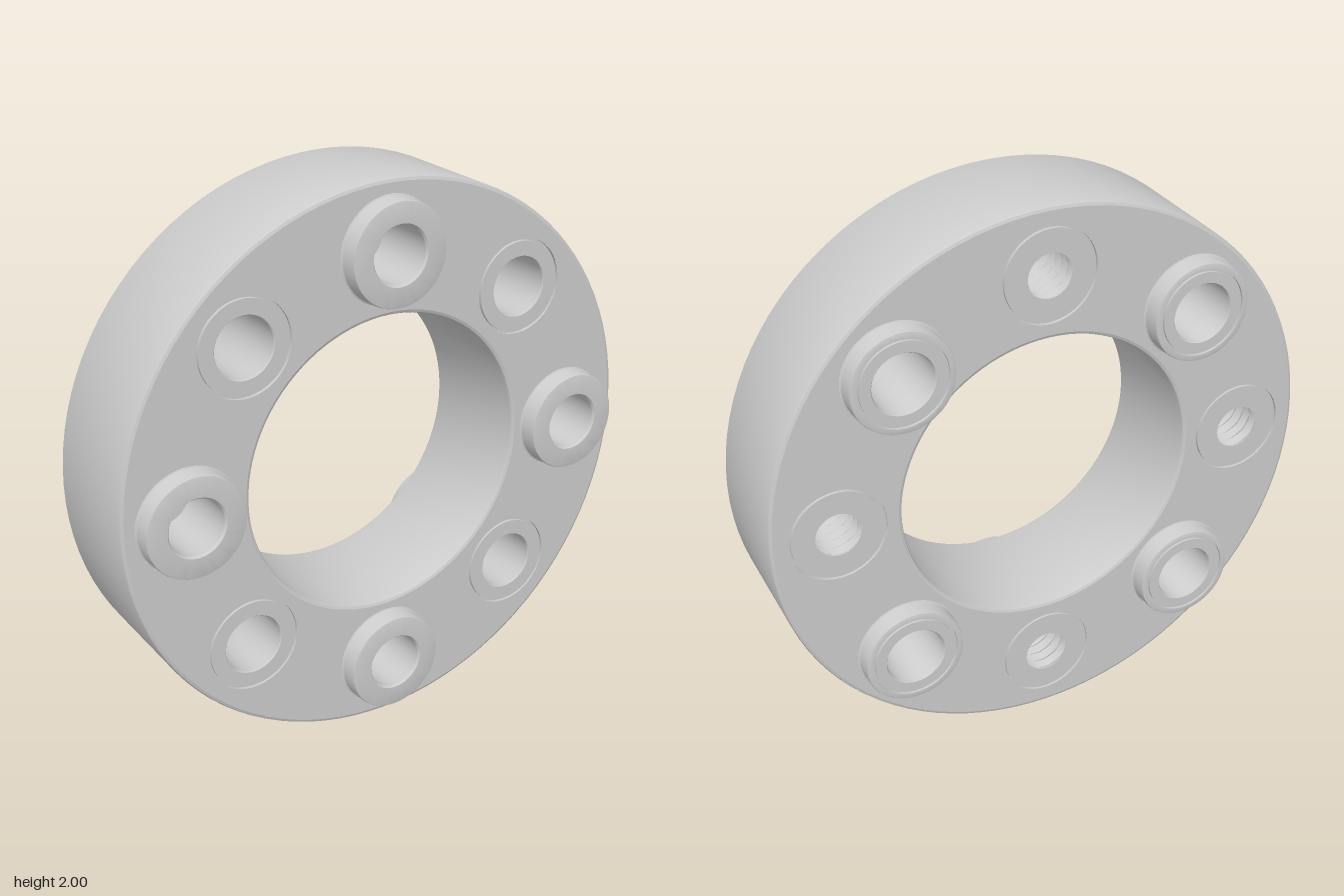
import * as THREE from 'three';
import { toCreasedNormals } from 'three/addons/utils/BufferGeometryUtils.js';

const F = 0.227;      // half thickness of the ring
const T = 0.295;      // height of the boss ends
const RO = 1, RI = 0.537;
const PITCH = 0.763;  // radius of the bolt circle
const BOSS = 0.187, FLUSH = 0.171;

const material = new THREE.MeshStandardMaterial({ color: 0xcccccc });

function mesh(name, geometry) {
  const m = new THREE.Mesh(geometry, material);
  m.name = name;
  return m;
}

// Turned surface with its axis along z
function turned(profile, segments) {
  const points = profile.map(([r, z]) => new THREE.Vector2(r, z));
  const g = new THREE.LatheGeometry(points, segments).rotateX(Math.PI / 2);
  return toCreasedNormals(g, 0.6);
}

// Flat ring face; every second opening takes a boss, the others a flush bushing
function faceGeometry(bossParity) {
  const shape = new THREE.Shape().absarc(0, 0, RO - 0.014, 0, Math.PI * 2);
  shape.holes.push(new THREE.Path().absarc(0, 0, RI + 0.014, 0, Math.PI * 2, true));
  for (let i = 0; i < 8; i++) {
    const a = i * Math.PI / 4;
    const r = i % 2 === bossParity ? BOSS : FLUSH;
    shape.holes.push(new THREE.Path().absarc(Math.cos(a) * PITCH, Math.sin(a) * PITCH, r, 0, Math.PI * 2, true));
  }
  return new THREE.ShapeGeometry(shape, 48).translate(0, 0, F);
}

// Raised boss wall with a small fillet at its foot
const bossWall = [[BOSS, F], [0.182, F + 0.003], [0.18, F + 0.01], [0.18, T - 0.008], [0.178, T - 0.002], [0.172, T]];

// Flush end with a narrow groove around it
const flushEnd = [[0.163, -F], [0.163, -F + 0.012], [FLUSH, -F + 0.012], [FLUSH, -F]];

// Helical thread: the radius follows height plus turn angle
function threadGeometry(z0, z1) {
  const rows = 64, pitch = 0.042, minor = 0.08, depth = 0.017;
  const points = [];
  for (let i = 0; i <= rows; i++) points.push(new THREE.Vector2(minor, z1 + (z0 - z1) * i / rows));
  const g = new THREE.LatheGeometry(points, 40);
  const p = g.attributes.position;
  for (let i = 0; i < p.count; i++) {
    const x = p.getX(i), y = p.getY(i), z = p.getZ(i);
    const t = y / pitch + Math.atan2(z, x) / (Math.PI * 2);
    const wave = 1 - Math.abs(2 * (t - Math.floor(t)) - 1);
    const fade = Math.max(0, Math.min(1, (y - z0) / 0.012, (z1 - y) / 0.012));
    const s = (minor + depth * wave * fade) / minor;
    p.setXYZ(i, x * s, y, z * s);
  }
  g.rotateX(Math.PI / 2);
  return toCreasedNormals(g, 0.5);
}

export function createModel() {
  const model = new THREE.Group();
  model.name = 'flangeRing';

  // Ring body: rounded outer and inner walls, front and back faces
  const c = 0.014;
  model.add(mesh('outerWall', turned(
    [[RO - c, -F], [RO - c * 0.3, -F + c * 0.3], [RO, -F + c], [RO, F - c], [RO - c * 0.3, F - c * 0.3], [RO - c, F]], 96)));
  model.add(mesh('innerWall', turned(
    [[RI + c, F], [RI + c * 0.3, F - c * 0.3], [RI, F - c], [RI, -F + c], [RI + c * 0.3, -F + c * 0.3], [RI + c, -F]], 96)));
  model.add(mesh('frontFace', faceGeometry(0)));
  model.add(mesh('backFace', faceGeometry(1).rotateY(Math.PI)));

  // Threaded bushing: counterbored boss in front, threaded from the back
  const stepZ = 0.04;
  const threadedBoss = turned([...bossWall, [0.106, T], [0.1, T - 0.008], [0.1, stepZ], [0.08, stepZ]], 56);
  const threadedEnd = turned([[0.08, -F], ...flushEnd], 56);
  const thread = threadGeometry(-F, stepZ);

  // Plain bushing: clear bore, boss with a grooved end
  const plain = turned([...bossWall, [0.157, T], [0.157, T - 0.01], [0.149, T - 0.01], [0.149, T],
    [0.11, T], [0.106, T - 0.006], [0.106, -F + 0.004], [0.109, -F], ...flushEnd], 56);

  for (let i = 0; i < 8; i++) {
    const a = i * Math.PI / 4;
    const bushing = new THREE.Group();
    bushing.position.set(Math.cos(a) * PITCH, Math.sin(a) * PITCH, 0);
    if (i % 2 === 0) {
      bushing.name = 'threadedBushing';
      bushing.add(mesh('boss', threadedBoss), mesh('flushEnd', threadedEnd), mesh('thread', thread));
    } else {
      bushing.name = 'plainBushing';
      bushing.rotation.y = Math.PI;
      bushing.add(mesh('sleeve', plain));
    }
    model.add(bushing);
  }

  model.position.y = 1;
  const root = new THREE.Group();
  root.name = 'flexibleCoupling';
  root.add(model);
  return root;
}
